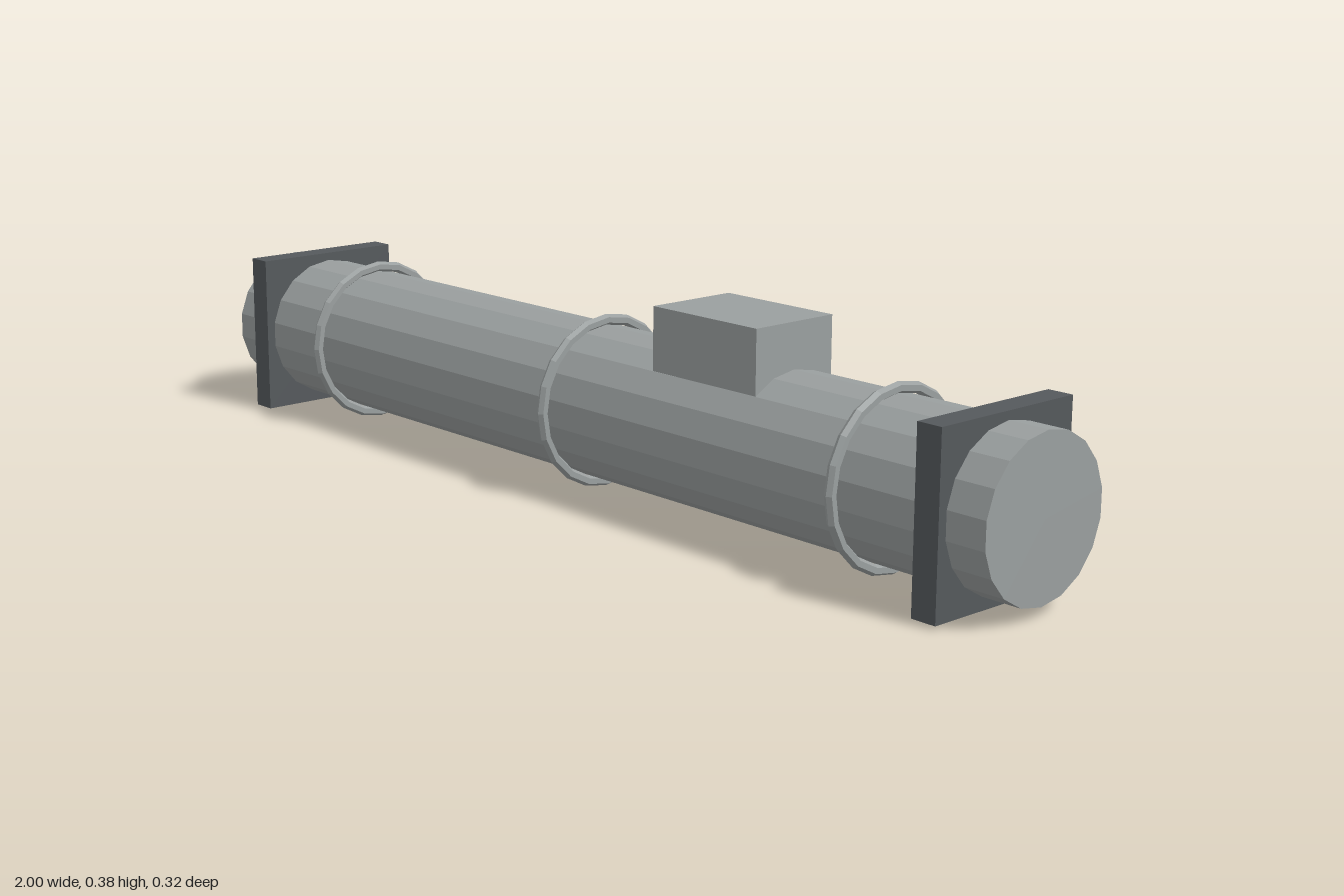
import * as THREE from 'three';

const AXIS_Y = 0.16; // height of the tube's centre line

export function createModel() {
  const model = new THREE.Group();
  model.name = 'tube';
  const steel = new THREE.MeshStandardMaterial({ color: 0x9a9f9f, flatShading: true });
  const dark = new THREE.MeshStandardMaterial({ color: 0x55595c, flatShading: true });

  const add = (name, geometry, material, x, y = AXIS_Y) => {
    const mesh = new THREE.Mesh(geometry, material);
    mesh.name = name;
    mesh.position.set(x, y, 0);
    model.add(mesh);
  };

  // Long faceted body along x, with a corner line on top
  const body = new THREE.CylinderGeometry(0.139, 0.139, 2, 18, 1, false, Math.PI / 2);
  add('body', body.rotateZ(Math.PI / 2), steel, 0);

  // Square end plates
  const plate = new THREE.BoxGeometry(0.048, 0.308, 0.308);
  add('leftEndPlate', plate, dark, 0.9);
  add('rightEndPlate', plate, dark, -0.9);

  // Reinforcing bands
  const band = new THREE.TorusGeometry(0.15, 0.01, 6, 20).rotateY(Math.PI / 2);
  add('leftBand', band, steel, 0.7);
  add('middleBand', band, steel, 0);
  add('rightBand', band, steel, -0.7);

  // Box on top, sunk slightly into the body
  add('topBox', new THREE.BoxGeometry(0.248, 0.12, 0.178), steel, 0.348, 0.32);

  return model;
}
